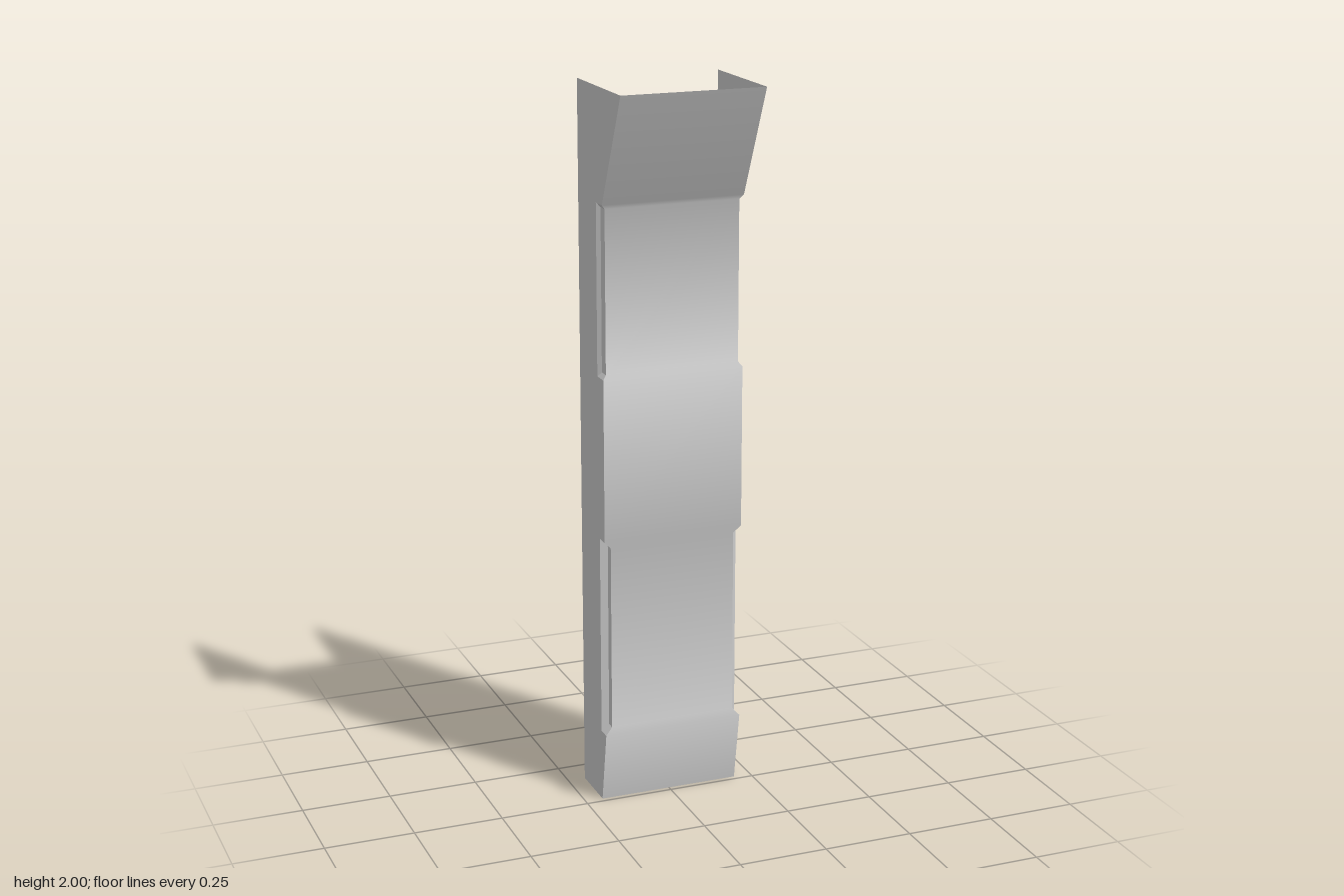
import * as THREE from 'three';

const HALF = 0.2, BACK = -0.163, FRONT = 0.163, FACE = 0.02, RECESS = 0.0125;

// recessed edge notches: height range, end slope, inner x, depth at wall and at inner face
const NOTCHES = [
  { y0: 0.205, y1: 0.77, d: 0.02, x: 0.18, wallZ: -0.018, innerZ: -0.011 },
  { y0: 1.225, y1: 1.695, d: 0.012, x: 0.19, wallZ: -0.026, innerZ: -0.018 },
];

const material = new THREE.MeshStandardMaterial({ color: 0xcccccc, side: THREE.DoubleSide });

function makeMesh(name, geometry) {
  const mesh = new THREE.Mesh(geometry, material);
  mesh.name = name;
  return mesh;
}

// flat quads, each given as four corners in order
function quads(list) {
  const pos = [];
  for (const [a, b, c, d] of list) pos.push(...a, ...b, ...c, ...a, ...c, ...d);
  const g = new THREE.BufferGeometry();
  g.setAttribute('position', new THREE.Float32BufferAttribute(pos, 3));
  g.computeVertexNormals();
  return g;
}

// front sheet: a profile of [half width, y, z] rows, smoothly shaded
function frontPanel() {
  const rows = [[HALF, 0, -0.015]];
  for (const n of NOTCHES) {
    rows.push([HALF, n.y0, FACE], [n.x, n.y0 + n.d, RECESS],
      [n.x, n.y1 - n.d, RECESS], [HALF, n.y1, FACE]);
  }
  rows.push([HALF, 2, FRONT]);

  // normal of each segment between rows
  const segments = rows.slice(1).map((r, i) =>
    new THREE.Vector3(0, rows[i][2] - r[2], r[1] - rows[i][1]).normalize());
  const pos = [], nor = [], index = [];
  rows.forEach(([w, y, z], i) => {
    const n = segments[Math.max(i - 1, 0)].clone()
      .add(segments[Math.min(i, segments.length - 1)]).normalize();
    pos.push(-w, y, z, w, y, z);
    nor.push(n.x, n.y, n.z, n.x, n.y, n.z);
    if (i) {
      const a = 2 * i - 2;
      index.push(a, a + 1, a + 3, a, a + 3, a + 2);
    }
  });
  const g = new THREE.BufferGeometry();
  g.setAttribute('position', new THREE.Float32BufferAttribute(pos, 3));
  g.setAttribute('normal', new THREE.Float32BufferAttribute(nor, 3));
  g.setIndex(index);
  return g;
}

// side sheet: outline in z and y, cut back where the notches are
function sideWall(side) {
  const outline = [[BACK, 0], [-0.015, 0]];
  for (const n of NOTCHES) {
    outline.push([FACE, n.y0], [n.wallZ, n.y0], [n.wallZ, n.y1], [FACE, n.y1]);
  }
  outline.push([FRONT, 2], [BACK, 2]);
  const shape = new THREE.Shape(outline.map(([z, y]) => new THREE.Vector2(z, y)));
  return new THREE.ShapeGeometry(shape).rotateY(-Math.PI / 2).translate(side * HALF, 0, 0);
}

// notch lining: inner face, chamfer to the wall and two sloped ends
function notchLining(n, side) {
  const X = side * HALF, x = side * n.x, a = n.y0 + n.d, b = n.y1 - n.d;
  return quads([
    [[x, a, RECESS], [x, a, n.innerZ], [x, b, n.innerZ], [x, b, RECESS]],
    [[x, a, n.innerZ], [X, n.y0, n.wallZ], [X, n.y1, n.wallZ], [x, b, n.innerZ]],
    [[X, n.y0, FACE], [X, n.y0, n.wallZ], [x, a, n.innerZ], [x, a, RECESS]],
    [[X, n.y1, FACE], [x, b, RECESS], [x, b, n.innerZ], [X, n.y1, n.wallZ]],
  ]);
}

export function createModel() {
  const model = new THREE.Group();
  model.name = 'channelPanel';
  model.add(makeMesh('frontPanel', frontPanel()));
  for (const [side, label] of [[1, 'left'], [-1, 'right']]) {
    model.add(makeMesh(label + 'Wall', sideWall(side)));
    NOTCHES.forEach((n, i) =>
      model.add(makeMesh(label + (i ? 'UpperNotch' : 'LowerNotch'), notchLining(n, side))));
  }
  return model;
}
